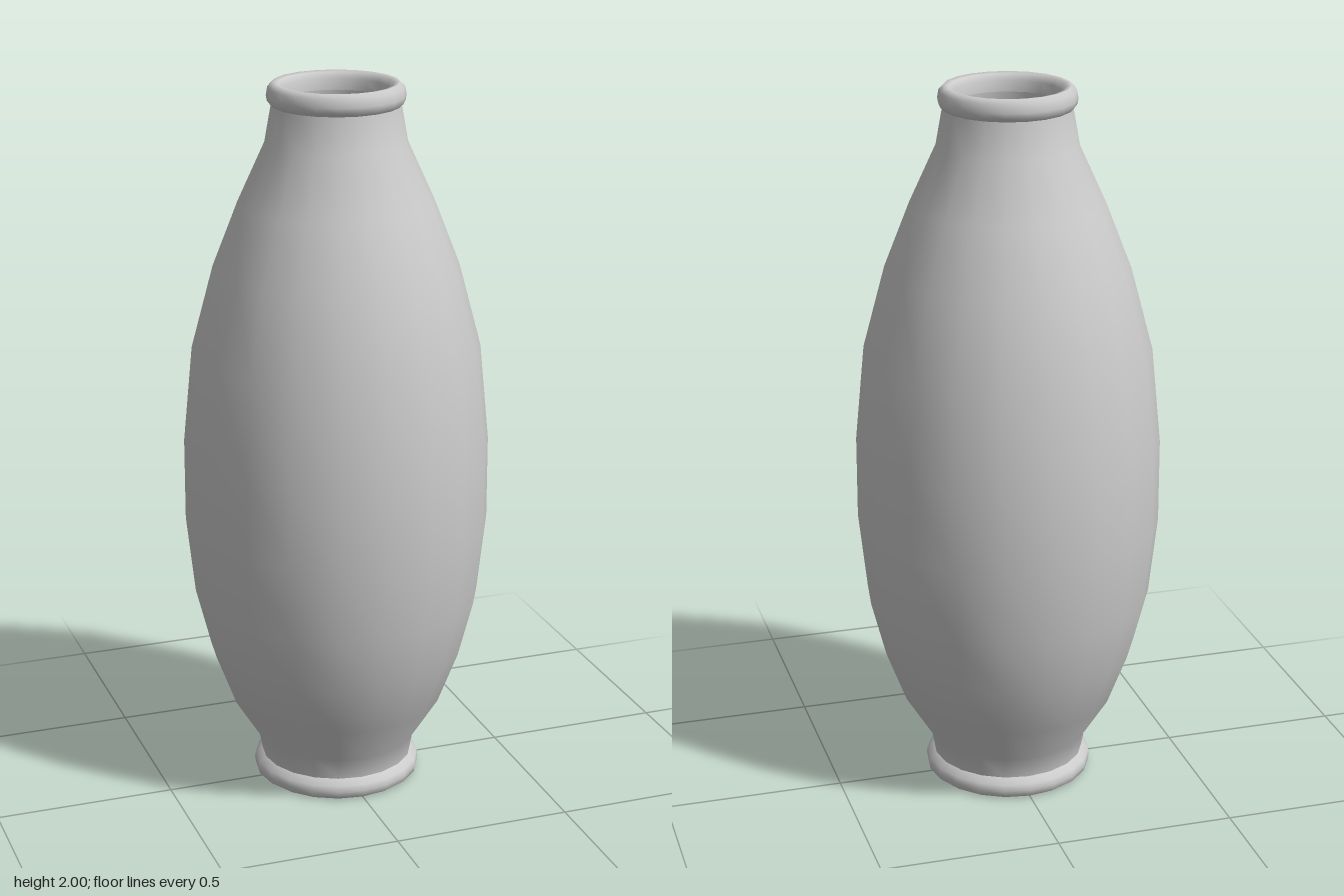
import * as THREE from 'three';

const SIDES = 20;

export function createModel() {
  const group = new THREE.Group();
  const material = new THREE.MeshStandardMaterial({ color: 0xcccccc });

  // Revolve a [radius, height] profile; outer walls run upwards, inner walls downwards.
  const turn = (name, profile) => {
    const points = profile.map(([r, y]) => new THREE.Vector2(r, y));
    const mesh = new THREE.Mesh(new THREE.LatheGeometry(points, SIDES), material);
    mesh.name = name;
    group.add(mesh);
  };

  // Flat underside
  turn('base', [[0, 0], [0.222, 0]]);

  // Rounded lip around the foot
  turn('footRing', [[0.222, 0], [0.233, 0.008], [0.236, 0.025], [0.233, 0.043], [0.214, 0.058]]);

  // Swelling outer wall
  turn('body', [
    [0.214, 0.058], [0.225, 0.12], [0.3, 0.24], [0.357, 0.39], [0.398, 0.55],
    [0.422, 0.77], [0.422, 1.0], [0.396, 1.27], [0.335, 1.5], [0.265, 1.68],
    [0.192, 1.84], [0.174, 1.94],
  ]);

  // Rolled rim at the mouth
  turn('rim', [
    [0.174, 1.94], [0.184, 1.95], [0.187, 1.965], [0.183, 1.988], [0.17, 2.0],
    [0.155, 1.997], [0.145, 1.98], [0.143, 1.95],
  ]);

  // Hollow interior with a rounded floor
  turn('innerWall', [
    [0.143, 1.95], [0.157, 1.84], [0.23, 1.67], [0.3, 1.48], [0.36, 1.26],
    [0.385, 1.0], [0.385, 0.77], [0.362, 0.56], [0.32, 0.4], [0.262, 0.25],
    [0.19, 0.13], [0.1, 0.075], [0, 0.06],
  ]);

  return group;
}
